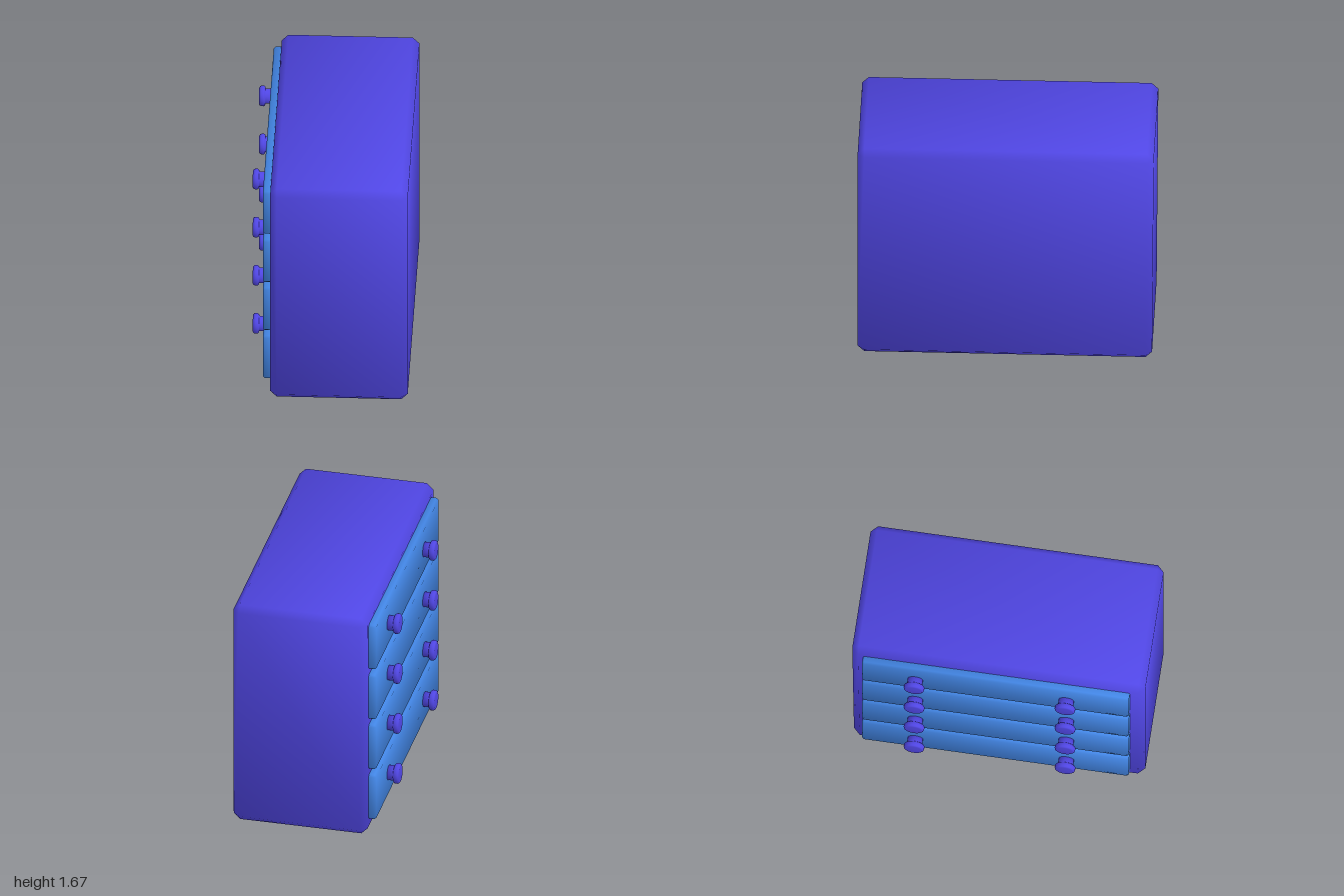
import * as THREE from 'three';
import { ConvexGeometry } from 'three/addons/geometries/ConvexGeometry.js';

// Box with a single chamfer on every edge and normals blended across it
function chamferedBox(w, h, d, bevel) {
  const half = [w / 2, h / 2, d / 2];
  const points = [];
  for (const sx of [-1, 1]) for (const sy of [-1, 1]) for (const sz of [-1, 1]) {
    const s = [sx, sy, sz];
    for (let axis = 0; axis < 3; axis++) {
      const p = s.map((v, i) => v * (half[i] - (i === axis ? 0 : bevel)));
      points.push(new THREE.Vector3(...p));
    }
  }
  const geo = new ConvexGeometry(points);
  const pos = geo.attributes.position;
  const normal = geo.attributes.normal;
  for (let i = 0; i < pos.count; i++) {
    const p = [pos.getX(i), pos.getY(i), pos.getZ(i)];
    const n = p.map((v, k) => Math.sign(v) * (half[k] - Math.abs(v) < bevel / 2 ? 3 : 1.28));
    const v = new THREE.Vector3(...n).normalize();
    normal.setXYZ(i, v.x, v.y, v.z);
  }
  return geo;
}

export function createModel() {
  const model = new THREE.Group();
  model.name = 'chestOfDrawers';
  const indigo = new THREE.MeshStandardMaterial({ color: 0x5046e4 });
  indigo.name = 'indigo paint';
  const blue = new THREE.MeshStandardMaterial({ color: 0x4285e4 });
  blue.name = 'blue paint';

  function add(name, geo, material, x, y, z) {
    const mesh = new THREE.Mesh(geo, material);
    mesh.name = name;
    mesh.position.set(x, y, z);
    model.add(mesh);
    return mesh;
  }

  // Cabinet, drawn in very slightly at the lower back
  const bodyGeo = chamferedBox(0.93, 1.67, 2, 0.045);
  const pos = bodyGeo.attributes.position;
  for (let i = 0; i < pos.count; i++) {
    if (pos.getZ(i) < 0) pos.setZ(i, pos.getZ(i) + 0.012 * (0.5 - pos.getY(i) / 1.67));
  }
  add('cabinet', bodyGeo, indigo, 0.067, 0.835, 0);

  // Drawer fronts and knobs on the -x side
  const drawerGeo = chamferedBox(0.08, 0.34, 1.82, 0.013);
  const knobProfile = [
    [0, -0.01], [0.052, -0.01], [0.052, 0.04], [0.062, 0.043], [0.07, 0.052],
    [0.07, 0.068], [0.066, 0.078], [0.056, 0.084], [0, 0.085],
  ].map(([r, y]) => new THREE.Vector2(r, y));
  const knobGeo = new THREE.LatheGeometry(knobProfile, 24);
  knobGeo.rotateZ(Math.PI / 2);

  for (let i = 0; i < 4; i++) {
    const y = 0.272 + i * 0.3873;
    add('drawerFront' + (i + 1), drawerGeo, blue, -0.41, y, -0.01);
    for (const z of [-0.555, 0.475]) add('knob', knobGeo, indigo, -0.45, y, z);
  }
  return model;
}
